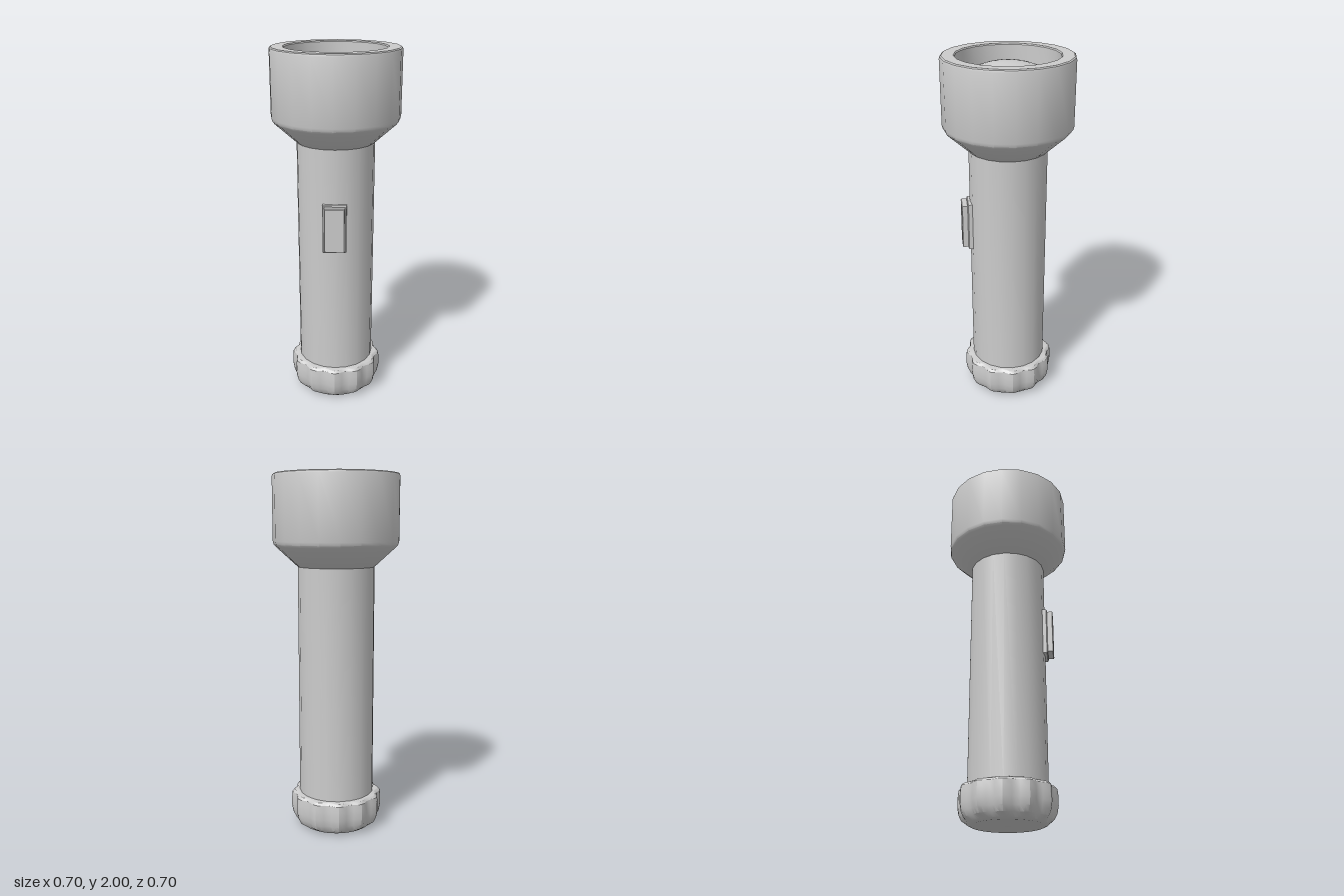
import * as THREE from 'three';
import { toCreasedNormals } from 'three/addons/utils/BufferGeometryUtils.js';

const material = new THREE.MeshStandardMaterial({ color: 0xcccccc });

function addPart(group, name, geometry) {
  const mesh = new THREE.Mesh(geometry, material);
  mesh.name = name;
  group.add(mesh);
  return mesh;
}

// Revolve a [radius, height] profile, keeping hard edges sharp
function lathe(profile, sides = 20) {
  const points = profile.map(([r, y]) => new THREE.Vector2(r, y));
  return toCreasedNormals(new THREE.LatheGeometry(points, sides), 0.5);
}

// Plate with chamfered front edges, centred on the barrel's front
function plate(width, height, depth, bevel) {
  const w = width / 2 - bevel, h = height / 2 - bevel;
  const shape = new THREE.Shape([
    new THREE.Vector2(-w, -h), new THREE.Vector2(w, -h),
    new THREE.Vector2(w, h), new THREE.Vector2(-w, h),
  ]);
  return new THREE.ExtrudeGeometry(shape, {
    depth: depth - 2 * bevel, bevelEnabled: true,
    bevelThickness: bevel, bevelSize: bevel, bevelSegments: 1,
  });
}

// End cap: the wall is pushed in between twelve grip ridges
function flutedCap() {
  const profile = [
    [0, 0], [0.19, 0], [0.208, 0.008], [0.24, 0.03], [0.255, 0.06], [0.262, 0.1],
    [0.262, 0.15], [0.258, 0.185], [0.247, 0.197], [0.235, 0.2], [0.2, 0.2],
  ];
  const geometry = new THREE.LatheGeometry(profile.map(([r, y]) => new THREE.Vector2(r, y)), 72);
  const pos = geometry.attributes.position;
  for (let i = 0; i < pos.count; i++) {
    const x = pos.getX(i), z = pos.getZ(i), r = Math.hypot(x, z);
    const valley = (1 - Math.cos(12 * Math.atan2(x, z))) / 2;
    const fade = THREE.MathUtils.smoothstep(r, 0.21, 0.25);
    const k = 1 - 0.075 * valley * fade;
    pos.setX(i, x * k);
    pos.setZ(i, z * k);
  }
  return toCreasedNormals(geometry, 0.5);
}

export function createModel() {
  const flashlight = new THREE.Group();
  flashlight.name = 'flashlight';

  // Barrel and end cap
  addPart(flashlight, 'barrel', lathe([[0.214, 0.15], [0.214, 1.51]]));
  addPart(flashlight, 'endCap', flutedCap());

  // Flared head with a recessed opening
  addPart(flashlight, 'head', lathe([
    [0.2, 1.495], [0.214, 1.5], [0.335, 1.61], [0.345, 1.622], [0.35, 1.64],
    [0.35, 1.985], [0.347, 1.995], [0.34, 2], [0.278, 2], [0.273, 1.994], [0.273, 1.86],
  ]));

  // Domed lens
  const dome = [];
  for (let i = 0; i <= 8; i++) {
    const s = 1 - i / 8;
    dome.push([0.274 * s, 1.875 + 0.09 * (1 - s * s)]);
  }
  addPart(flashlight, 'lens', lathe(dome));

  // Sliding switch
  const base = addPart(flashlight, 'switchBase', plate(0.13, 0.27, 0.06, 0.005));
  base.position.set(0, 1.068, 0.175);
  const button = addPart(flashlight, 'switchButton', plate(0.11, 0.248, 0.06, 0.004));
  button.position.set(0, 1.068, 0.206);

  return flashlight;
}
